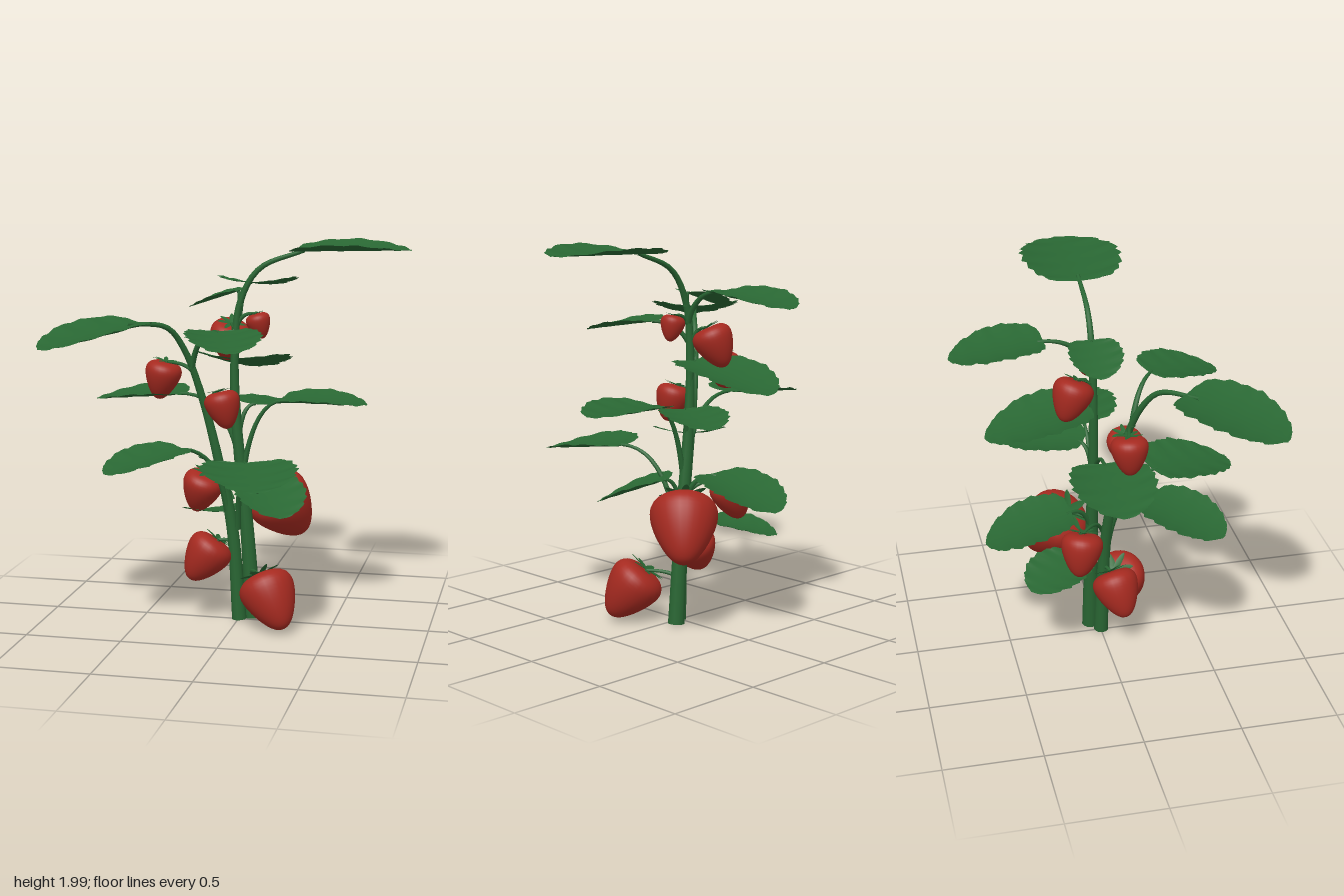
import * as THREE from 'three';

const leafMat = new THREE.MeshStandardMaterial({ color: 0x296733, side: THREE.DoubleSide });
leafMat.name = 'leaf green';
const stemMat = new THREE.MeshStandardMaterial({ color: 0x296633 });
stemMat.name = 'stem green';
const berryMat = new THREE.MeshStandardMaterial({ color: 0xa62a20 });
berryMat.name = 'berry red';

const V = (p) => new THREE.Vector3(...p);
const UP = new THREE.Vector3(0, 1, 0);

function add(parent, geometry, material, name) {
  const mesh = new THREE.Mesh(geometry, material);
  mesh.name = name;
  parent.add(mesh);
  return mesh;
}

// Tube that narrows from r0 to r1 along its curve
function taperedTube(curve, r0, r1, segments, sides) {
  const geo = new THREE.TubeGeometry(curve, segments, r0, sides);
  const pos = geo.attributes.position;
  const p = new THREE.Vector3();
  for (let i = 0; i <= segments; i++) {
    const c = curve.getPointAt(i / segments);
    const k = 1 + (r1 / r0 - 1) * (i / segments);
    for (let j = 0; j <= sides; j++) {
      const n = i * (sides + 1) + j;
      p.fromBufferAttribute(pos, n).sub(c).multiplyScalar(k).add(c);
      pos.setXYZ(n, p.x, p.y, p.z);
    }
  }
  return geo;
}

// Half-width of a leaf along its length, as a fraction of the widest point
const outline = new THREE.SplineCurve([
  [0, 0.38], [0.04, 0.7], [0.18, 0.91], [0.4, 1], [0.6, 0.95], [0.8, 0.72], [0.93, 0.42], [1, 0.06],
].map(([u, w]) => new THREE.Vector2(u, w)));

// Cupped blade from base to tip, with saw-tooth edges when teeth > 0
function bladeGeometry(base, tip, width, teeth, cup) {
  const rows = teeth ? teeth * 4 : 6;
  const cols = teeth ? 8 : 2;
  const length = base.distanceTo(tip);
  const pos = [], index = [];
  for (let i = 0; i <= rows; i++) {
    const o = outline.getPoint(i / rows);
    const tooth = teeth ? 1.03 - 0.08 * ((i % 4) / 3) : 1;
    for (let j = 0; j <= cols; j++) {
      const v = (j / cols) * 2 - 1;
      const edge = Math.abs(v) === 1 ? tooth : 1;
      const x = v * o.y * edge * width / 2;
      const ripple = teeth ? 0.006 * width * Math.sin(i * 0.9 + j * 0.3) * Math.abs(v) : 0;
      const y = cup * width * v * v * o.y * o.y + ripple;
      pos.push(x, y, o.x * length);
      if (i < rows && j < cols) {
        const a = i * (cols + 1) + j, b = a + cols + 1;
        index.push(a, b, a + 1, a + 1, b, b + 1);
      }
    }
  }
  const geo = new THREE.BufferGeometry();
  geo.setAttribute('position', new THREE.Float32BufferAttribute(pos, 3));
  geo.setIndex(index);
  const d = tip.clone().sub(base).normalize();
  const side = UP.clone().cross(d).normalize();
  const frame = new THREE.Matrix4().makeBasis(side, d.clone().cross(side), d).setPosition(base);
  geo.applyMatrix4(frame);
  geo.computeVertexNormals();
  return geo;
}

// Stalk that rises from the stem, then bends outward
function stalk(parent, from, to, r0, r1) {
  const bend = from.clone().lerp(to, 0.25);
  bend.y = Math.max(from.y, to.y) + 0.01;
  const curve = new THREE.QuadraticBezierCurve3(from, bend, to);
  add(parent, taperedTube(curve, r0, r1, 12, 7), stemMat, 'stalk');
}

const berryProfile = new THREE.SplineCurve([
  [0, -1], [0.1, -0.975], [0.21, -0.88], [0.33, -0.7], [0.43, -0.48],
  [0.48, -0.27], [0.45, -0.12], [0.34, -0.02], [0.18, 0.01], [0, -0.01],
].map(([r, y]) => new THREE.Vector2(r, y))).getPoints(27)
  .map((p, i, all) => new THREE.Vector2(i === 0 || i === all.length - 1 ? 0 : Math.max(p.x, 0.001), p.y));

// Berry with a star of sepals and its own stalk
function berry(parent, centre, size, dir, from) {
  const group = new THREE.Group();
  group.name = 'berry';
  const d = V(dir).normalize();
  const top = V(centre).addScaledVector(d, -size / 2);
  const fruit = new THREE.Group();
  fruit.name = 'fruit';
  add(fruit, new THREE.LatheGeometry(berryProfile, 28), berryMat, 'berryFlesh');
  for (let i = 0; i < 7; i++) {
    const a = (i / 7) * Math.PI * 2;
    const tip = new THREE.Vector3(Math.cos(a) * 0.36, 0.05 + 0.03 * (i % 2), Math.sin(a) * 0.36);
    add(fruit, bladeGeometry(new THREE.Vector3(0, 0.015, 0), tip, 0.12, 0, 0.1), leafMat, 'sepal');
  }
  fruit.position.copy(top);
  fruit.scale.setScalar(size);
  fruit.quaternion.setFromUnitVectors(UP, d.negate());
  group.add(fruit);
  stalk(group, V(from), top, 0.011, 0.008);
  parent.add(group);
}

export function createModel() {
  const plant = new THREE.Group();
  plant.name = 'berryPlant';

  // Two main stems with closed feet
  const stems = [
    [0.044, [[0.07, 0.01, -0.045], [0.035, 0.5, -0.045], [-0.02, 1.05, -0.045], [-0.03, 1.4, -0.045],
      [0.0, 1.68, -0.045], [0.1, 1.85, -0.045], [0.33, 1.945, -0.045]]],
    [0.039, [[0.005, 0.01, 0.002], [-0.03, 0.5, 0.012], [-0.085, 0.8, 0.03], [-0.17, 1.18, 0.07],
      [-0.25, 1.45, 0.14], [-0.32, 1.57, 0.22], [-0.48, 1.6, 0.375]]],
  ];
  for (const [radius, points] of stems) {
    const curve = new THREE.CatmullRomCurve3(points.map(V));
    add(plant, taperedTube(curve, radius, 0.01, 48, 12), stemMat, 'mainStem');
    const foot = add(plant, new THREE.CircleGeometry(radius, 12), stemMat, 'stemFoot');
    foot.rotation.x = Math.PI / 2;
    foot.position.copy(V(points[0]));
  }

  // Leaves: base, tip, width, stalk start on the stem (none where a main stem ends in the leaf)
  const leaves = [
    [[0.27, 1.94, -0.045], [0.87, 1.955, -0.045], 0.51],
    [[-0.43, 1.605, 0.325], [-0.82, 1.51, 0.72], 0.47],
    [[0, 1.755, -0.29], [0, 1.7, -0.76], 0.42, [-0.01, 1.58, -0.05]],
    [[0.0, 1.735, -0.05], [-0.27, 1.645, -0.05], 0.27, [0.0, 1.66, -0.045]],
    [[-0.29, 1.195, -0.045], [-0.77, 1.155, -0.045], 0.42, [-0.01, 0.88, -0.045]],
    [[0.21, 1.175, -0.045], [0.66, 1.17, -0.045], 0.42, [0.01, 0.75, -0.04]],
    [[-0.03, 1.385, -0.06], [-0.03, 1.265, -0.6], 0.49, [-0.025, 1.25, -0.05]],
    [[-0.07, 0.805, -0.17], [-0.07, 0.675, -0.62], 0.45, [0.01, 0.65, -0.05]],
    [[0.06, 1.145, -0.08], [0.23, 1.105, -0.45], 0.34, [-0.01, 0.98, -0.045]],
    [[-0.25, 0.95, 0.19], [-0.57, 0.865, 0.5], 0.39, [-0.05, 0.6, 0.03]],
    [[0.1, 0.915, 0.3], [0.24, 0.865, 0.745], 0.47, [0.0, 0.5, 0.02]],
    [[-0.05, 1.56, 0.23], [0.085, 1.5, 0.6], 0.38, [-0.22, 1.35, 0.11]],
    [[0.1, 0.78, -0.02], [0.29, 0.64, 0.31], 0.38, [0.02, 0.6, -0.03]],
    [[-0.1, 0.55, -0.14], [-0.29, 0.49, -0.42], 0.35, [0.03, 0.42, -0.05]],
  ];
  for (const [base, tip, width, from] of leaves) {
    const group = new THREE.Group();
    group.name = 'leaf';
    const b = V(base), t = V(tip);
    add(group, bladeGeometry(b, t, width, 10, 0.085), leafMat, 'leafBlade');
    if (from) stalk(group, V(from), b.clone().lerp(t, 0.06), 0.017, 0.008);
    plant.add(group);
  }

  // Berries: centre, length, direction of the tip, stalk start on the stem
  const berries = [
    [[0.215, 0.16, 0.17], 0.3, [0.45, -0.75, 0.38], [0.05, 0.25, -0.04]],
    [[-0.175, 0.335, 0.06], 0.25, [-0.5, -0.75, 0.2], [-0.03, 0.42, 0.01]],
    [[-0.24, 0.645, -0.155], 0.225, [-0.3, -0.9, -0.15], [-0.03, 0.65, 0.0]],
    [[0.205, 0.56, -0.24], 0.36, [0.45, -0.75, -0.45], [0.03, 0.68, -0.045]],
    [[-0.39, 1.275, 0.06], 0.195, [-0.2, -0.97, 0], [-0.21, 1.32, 0.1]],
    [[-0.05, 1.14, 0.115], 0.19, [0.25, -0.92, 0.1], [-0.15, 1.1, 0.06]],
    [[-0.09, 1.455, -0.175], 0.215, [-0.2, -0.88, -0.35], [-0.03, 1.45, -0.045]],
    [[0.1, 1.555, -0.045], 0.13, [0.25, -0.95, 0], [-0.01, 1.57, -0.045]],
  ];
  for (const args of berries) berry(plant, ...args);

  return plant;
}
